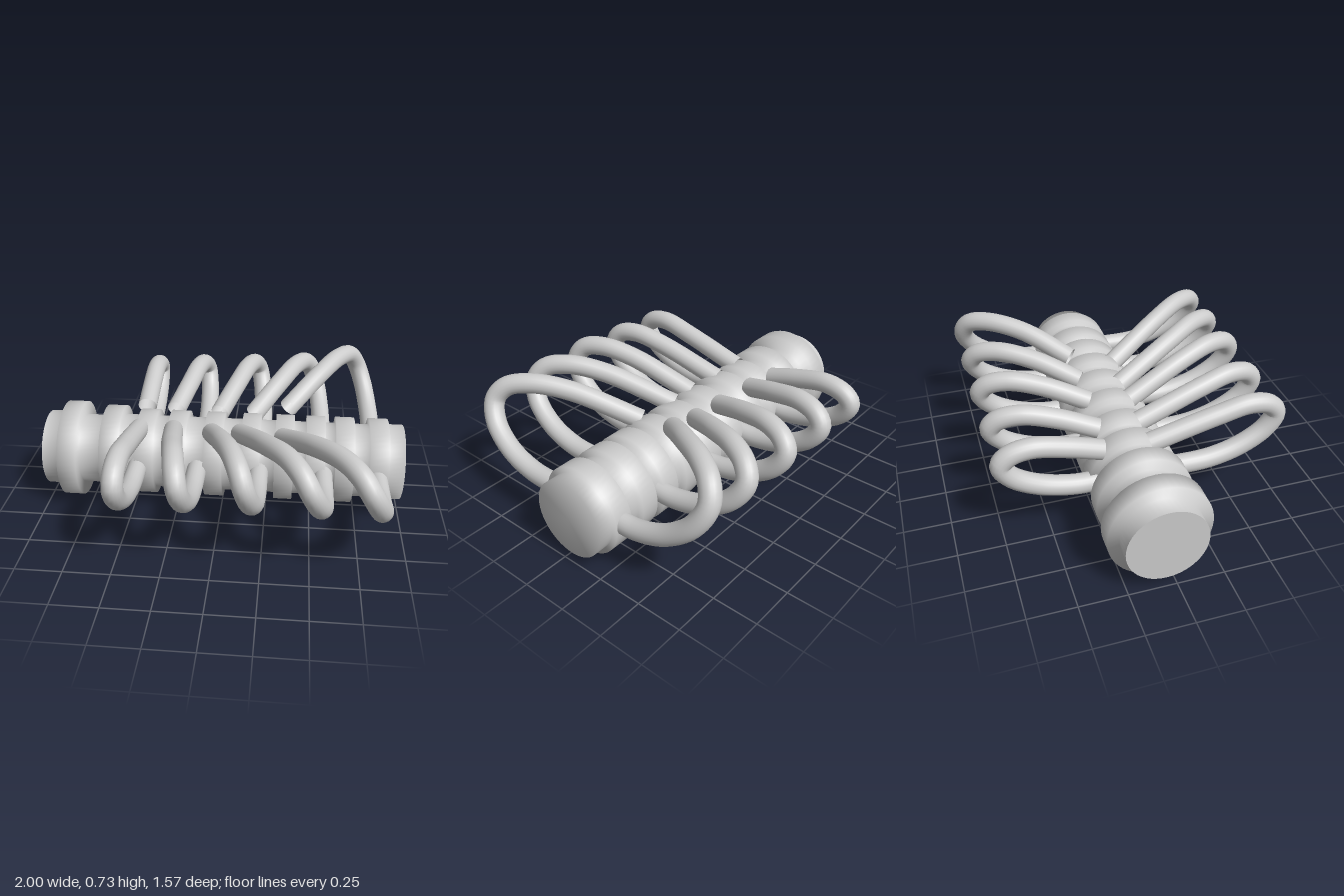
import * as THREE from 'three';

const BODY_Y = 0.27, BODY_Z = -0.056, TUBE_R = 0.054;

export function createModel() {
  const group = new THREE.Group();
  const grey = new THREE.MeshStandardMaterial({ color: 0xcccccc });
  const thin = new THREE.MeshStandardMaterial({ color: 0xcccccc, side: THREE.DoubleSide });

  // Spine: one smooth lathe along x, [start of collar, width, collar radius]
  const collars = [[-0.9, 0.105, 0.27], [-0.67, 0.105, 0.255]];
  for (const x of [-0.475, -0.3, -0.095, 0.11, 0.295, 0.465, 0.625, 0.81]) collars.push([x, 0.103, 0.24]);
  const profile = [[0.21, -1]];
  let shaft = 0.21;
  collars.forEach(([x, w, r], i) => {
    profile.push([shaft, x], [r, x], [r, x + w]);
    shaft = i === 0 ? 0.195 : 0.205;
    if (i === collars.length - 1) shaft = 0.21;
    profile.push([shaft, x + w]);
  });
  profile.push([0.21, 1], [0, 1]);
  const spineGeo = new THREE.LatheGeometry(profile.map(p => new THREE.Vector2(...p)), 48);
  spineGeo.rotateZ(-Math.PI / 2);
  const spine = new THREE.Mesh(spineGeo, grey);
  spine.name = 'spine';
  spine.position.set(0, BODY_Y, BODY_Z);
  group.add(spine);

  // Flat cap on the narrow end
  const cap = new THREE.Mesh(new THREE.CircleGeometry(0.21, 48).rotateY(-Math.PI / 2), grey);
  cap.name = 'endCap';
  cap.position.set(-1, BODY_Y, BODY_Z);
  group.add(cap);

  // Rib: leaves the spine sideways, curls up and sweeps back over it
  function addRib(name, side, baseX, endX, endY, endZ, top) {
    const lift = top - 0.6;
    const inner = side > 0 ? 0.12 : 0.22;
    const path = [
      [inner, 0.28, 0],
      [0.37, 0.284, 0],
      [0.55, 0.335 + lift * 0.15, 0.02],
      [0.685, 0.425 + lift * 0.4, 0.08],
      [0.732, 0.515 + lift * 0.7, 0.17],
      [0.69, 0.575 + lift, 0.27],
      [0.58, top, 0.42],
      [0.4, top - 0.035, 0.65],
      [endZ, endY, 1],
    ].map(([z, y, f]) => new THREE.Vector3(baseX + (endX - baseX) * f, y, side * z));
    const curve = new THREE.CatmullRomCurve3(path);
    const rib = new THREE.Mesh(new THREE.TubeGeometry(curve, 64, TUBE_R, 20), thin);
    rib.name = name;
    group.add(rib);
  }

  // [base x, front end x, front end z, front top, back end x, back end y, back end z, back top]
  [
    [-0.46, -0.46, 0.03, 0.59, -0.46, 0.475, 0.22, 0.565],
    [-0.13, -0.27, 0.03, 0.61, -0.285, 0.475, 0.19, 0.58],
    [0.21, -0.055, 0.05, 0.635, -0.03, 0.475, 0.17, 0.595],
    [0.56, 0.1, 0.04, 0.63, 0.17, 0.485, 0.17, 0.615],
    [0.855, 0.335, 0.07, 0.63, 0.36, 0.525, 0.175, 0.672],
  ].forEach(([x, fx, fz, ft, bx, by, bz, bt], i) => {
    addRib(`frontRib${i + 1}`, 1, x, fx, 0.46, fz, ft);
    addRib(`backRib${i + 1}`, -1, x, bx, by, bz, bt);
  });

  return group;
}
